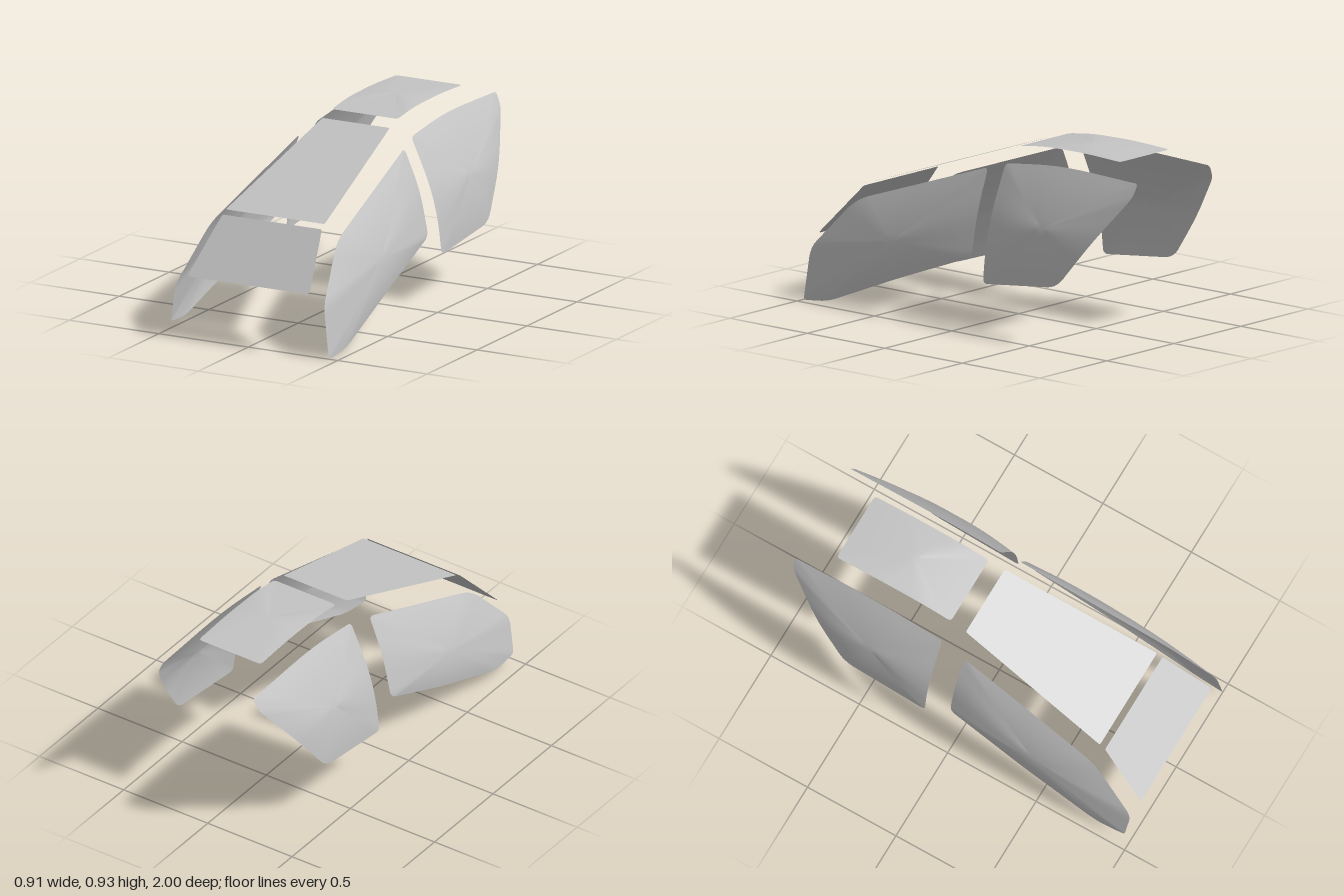
import * as THREE from 'three';

const V = (p) => new THREE.Vector3(...p);

// Closed outline through the corners; each corner is rounded by its own radius (4th value)
function roundedOutline(corners, radius) {
  const n = corners.length, pts = [];
  const at = (i) => V(corners[(i + n) % n].slice(0, 3));
  const cut = (i, j) => {
    const a = at(i), d = at(j).sub(a), r = corners[(i + n) % n][3] ?? radius;
    return a.addScaledVector(d.clone().normalize(), Math.min(r, d.length() * 0.45));
  };
  for (let i = 0; i < n; i++) {
    pts.push(...new THREE.QuadraticBezierCurve3(cut(i, i - 1), at(i), cut(i, i + 1)).getPoints(5));
    const edge = new THREE.LineCurve3(cut(i, i + 1), cut(i + 1, i)).getPoints(5);
    pts.push(...edge.slice(1, -1));
  }
  return pts;
}

// Thin pane: rings shrink from the outline to the centre and swell along bulge
function pane(name, corners, radius, centre, bulge, material, rings = 8) {
  const outline = roundedOutline(corners, radius), n = outline.length;
  const c = V(centre), b = V(bulge), pos = [], index = [];
  pos.push(...c.clone().add(b).toArray());
  for (let k = 1; k <= rings; k++) {
    const t = k / rings;
    for (const p of outline) {
      pos.push(...c.clone().lerp(p, t).addScaledVector(b, 1 - t * t).toArray());
    }
  }
  for (let i = 0; i < n; i++) {
    const j = (i + 1) % n;
    index.push(0, 1 + i, 1 + j);
    for (let k = 0; k < rings - 1; k++) {
      const a = 1 + k * n, d = a + n;
      index.push(a + i, d + i, d + j, a + i, d + j, a + j);
    }
  }
  const g = new THREE.BufferGeometry();
  g.setAttribute('position', new THREE.Float32BufferAttribute(pos, 3));
  g.setIndex(index);
  g.computeVertexNormals();
  const mesh = new THREE.Mesh(g, material);
  mesh.name = name;
  return mesh;
}

// Half outline on +x, closed by its mirror image. Runs counter-clockwise seen from outside
const mirrored = (half) => [...half, ...half.map(([x, ...r]) => [-x, ...r]).reverse()];
const flipX = (list) => list.map(([x, ...r]) => [-x, ...r]).reverse();

export function createModel() {
  const group = new THREE.Group();
  group.name = 'windowPanes';
  const glass = new THREE.MeshStandardMaterial({ color: 0xc4c4c4, side: THREE.DoubleSide });
  glass.name = 'paleGrey';

  // Flat front panes and the gently curved roof pane
  group.add(
    pane('lowerFrontPane', mirrored([[0.342, 0.32, 1, 0.025], [0.278, 0.583, 0.76, 0.01]]), 0.02,
      [0, 0.4515, 0.88], [0, 0, 0], glass, 1),
    pane('windshield', mirrored([[0.276, 0.602, 0.73], [0.188, 0.88, -0.08]]), 0.012,
      [0, 0.741, 0.325], [0, 0, 0], glass, 1),
    pane('roofPane', mirrored([[0.184, 0.904, -0.167, 0.02], [0.184, 0.925, -0.32, 0.08],
      [0.184, 0.93, -0.58, 0.1], [0.184, 0.919, -0.812, 0.02]]), 0.02,
      [0, 0.927, -0.48], [0, 0.01, 0], glass),
  );

  // Side panes: the lower nose of the front pane differs a little from side to side
  const frontSide = (nose, rearZ) => [
    ...nose,
    [0.44, 0.2, 0.4, 0.1],
    [0.418, 0.37, rearZ, 0.04], [0.37, 0.6, rearZ, 0.1], [0.286, 0.798, rearZ + 0.005, 0.03],
    [0.352, 0.53, 0.745, 0.08], [0.415, 0.265, 0.985, 0.05],
  ];
  const rearSide = (frontZ) => [
    [0.44, 0.255, frontZ, 0.03], [0.438, 0.305, -0.62, 0.06], [0.395, 0.545, -0.806, 0.12],
    [0.3, 0.785, -0.992, 0.04], [0.268, 0.852, -1, 0.02], [0.266, 0.87, -0.5, 0.2],
    [0.27, 0.83, frontZ, 0.025], [0.375, 0.6, frontZ, 0.15], [0.42, 0.43, frontZ, 0.1],
  ];
  const sides = [
    { s: 1, label: 'left', nose: [[0.45, 0.005, 1, 0.02], [0.455, 0.022, 0.84, 0.06]], rearZ: -0.055, frontZ: -0.148 },
    { s: -1, label: 'right', nose: [[0.449, 0.07, 0.97, 0.02], [0.455, 0.06, 0.82, 0.06]], rearZ: -0.035, frontZ: -0.165 },
  ];
  for (const { s, label, nose, rearZ, frontZ } of sides) {
    const place = (list) => (s > 0 ? list : flipX(list));
    group.add(
      pane(label + 'FrontSidePane', place(frontSide(nose, rearZ)), 0.04,
        [s * 0.4, 0.38, 0.45], [s * 0.035, 0, 0], glass),
      pane(label + 'RearSidePane', place(rearSide(frontZ)), 0.03,
        [s * 0.37, 0.58, -0.5], [s * 0.035, 0, 0], glass),
    );
  }
  return group;
}
